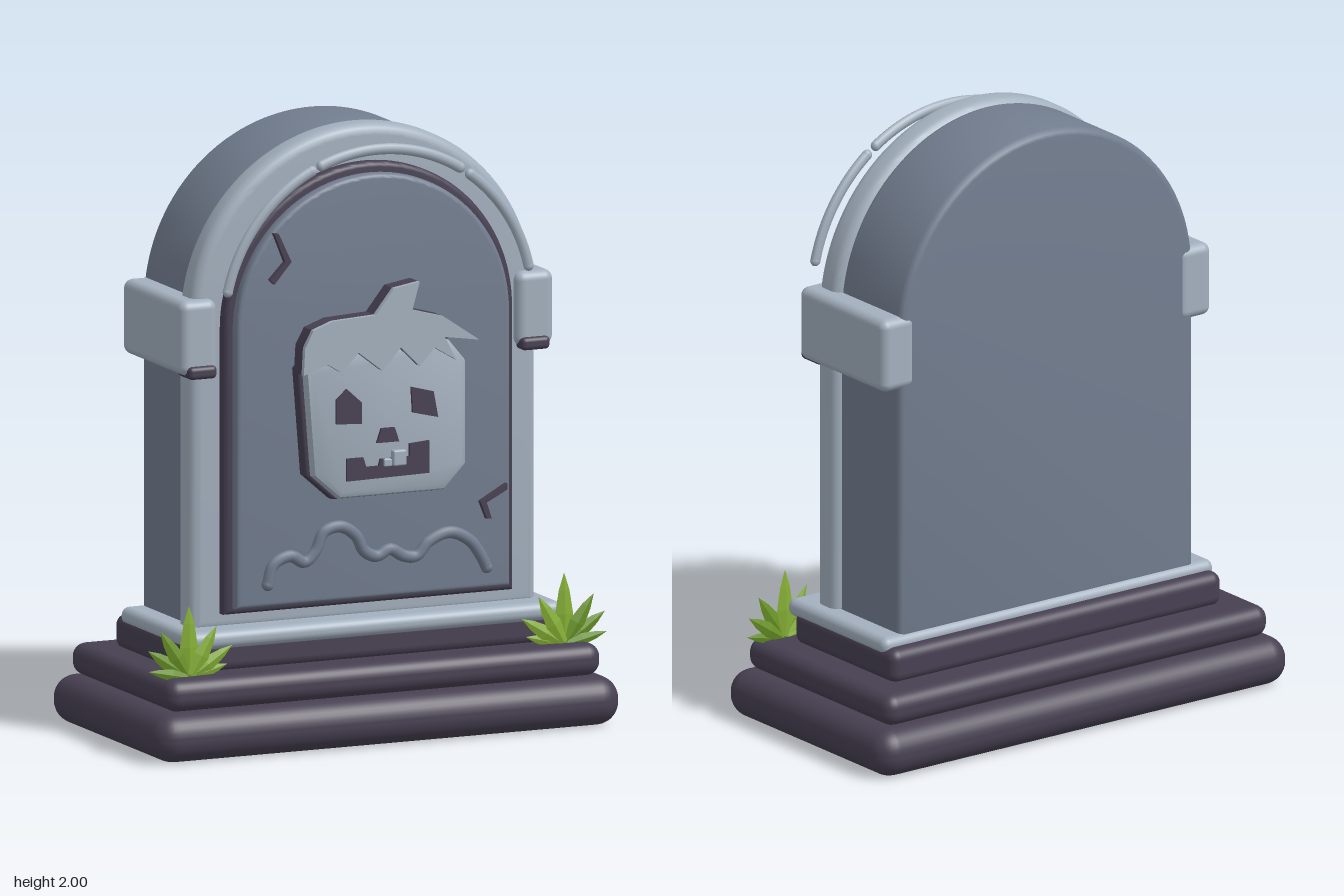
import * as THREE from 'three';
import { toCreasedNormals } from 'three/addons/utils/BufferGeometryUtils.js';
import { RoundedBoxGeometry } from 'three/addons/geometries/RoundedBoxGeometry.js';

const material = (name, color, flatShading = false) => {
  const m = new THREE.MeshStandardMaterial({ color, flatShading });
  m.name = name;
  return m;
};

export function createModel() {
  const model = new THREE.Group();
  model.name = 'gravestone';
  const stone = material('stone grey', 0x737e90);
  const pale = material('pale stone', 0xa3b0be);
  const dark = material('dark stone', 0x474052);
  const leaf = material('leaf green', 0x86b035, true);
  const leafDark = material('deep leaf green', 0x6a9426, true);

  const add = (name, geometry, mat, parent = model) => {
    const mesh = new THREE.Mesh(geometry, mat);
    mesh.name = name;
    parent.add(mesh);
    return mesh;
  };

  // Rounded block given by its min and max on each axis
  const block = (name, mat, [x0, x1], [y0, y1], [z0, z1], r) => {
    const mesh = add(name, new RoundedBoxGeometry(x1 - x0, y1 - y0, z1 - z0, 4, r), mat);
    mesh.position.set((x0 + x1) / 2, (y0 + y1) / 2, (z0 + z1) / 2);
    return mesh;
  };

  // Extrusion from z0 to z1 with a bevel kept inside the outline
  const plate = (name, mat, shape, z0, z1, bevel = 0, inset = 0, steps = 3) => {
    const geo = new THREE.ExtrudeGeometry(shape, {
      depth: z1 - z0 - 2 * bevel, curveSegments: 40,
      bevelEnabled: bevel > 0, bevelThickness: bevel, bevelSize: bevel,
      bevelOffset: -bevel - inset, bevelSegments: steps,
    });
    geo.translate(0, 0, z0 + bevel);
    return add(name, toCreasedNormals(geo, 0.6), mat);
  };

  const polygon = (points) => new THREE.Shape(points.map(([x, y]) => new THREE.Vector2(x, y)));

  const arch = (r, bottom, spring) => {
    const s = new THREE.Shape();
    s.moveTo(-r, bottom);
    s.lineTo(r, bottom);
    s.lineTo(r, spring);
    s.absarc(0, spring, r, 0, Math.PI, false);
    s.closePath();
    return s;
  };

  // Stepped plinth
  block('lowerStep', dark, [-0.825, 0.825], [0, 0.16], [-0.435, 0.435], 0.075);
  block('middleStep', dark, [-0.77, 0.77], [0.16, 0.265], [-0.385, 0.385], 0.045);
  block('upperStep', dark, [-0.665, 0.665], [0.255, 0.37], [-0.27, 0.27], 0.035);
  block('plinthCap', pale, [-0.665, 0.665], [0.34, 0.4], [-0.225, 0.305], 0.028);

  // Arched slab, frame and recessed panel
  plate('slab', stone, arch(0.59, 0.38, 1.397), -0.21, 0.12, 0.022);
  plate('frame', pale, arch(0.613, 0.38, 1.387), 0.105, 0.213, 0.035, 0, 5);
  plate('panelBorder', dark, arch(0.512, 0.44, 1.37), 0.2, 0.252, 0.015);
  plate('panel', stone, arch(0.485, 0.462, 1.365), 0.24, 0.287, 0.015);

  // Shoulder blocks with dark feet
  for (const side of [-1, 1]) {
    const span = (a, b) => (side > 0 ? [a, b] : [-b, -a]);
    block('shoulder', pale, span(0.53, 0.662), [1.23, 1.475], [-0.215, 0.245], 0.03);
    block('shoulderFoot', dark, span(0.54, 0.64), [1.22, 1.262], [0.16, 0.262], 0.015);
  }

  // Three raised beads following the arch
  for (const [from, to] of [[13, 53.5], [58, 111.5], [115.5, 167]]) {
    const points = [];
    for (let i = 0; i <= 16; i++) {
      const a = THREE.MathUtils.degToRad(from + (to - from) * i / 16);
      points.push(new THREE.Vector3(0.547 * Math.cos(a), 1.39 + 0.547 * Math.sin(a), 0));
    }
    const curve = new THREE.CatmullRomCurve3(points);
    const bead = add('archBead', new THREE.TubeGeometry(curve, 32, 0.018, 8), pale);
    bead.scale.z = 0.8;
    bead.position.z = 0.321;
    for (const end of [points[0], points[16]]) {
      const cap = add('beadEnd', new THREE.SphereGeometry(0.018, 10, 8), pale);
      cap.scale.z = 0.8;
      cap.position.set(end.x, end.y, 0.321);
    }
  }

  // Carved pumpkin: backing, face and leafy top
  const head = polygon([[-0.29, 1.24], [-0.262, 0.89], [-0.165, 0.805], [0.215, 0.805],
    [0.297, 0.89], [0.297, 1.235], [0.235, 1.31], [-0.23, 1.31]]);
  plate('pumpkinBacking', dark, head, 0.28, 0.332, 0.01);
  plate('pumpkinFace', pale, head, 0.325, 0.382, 0.024, 0.008, 2);
  const top = polygon([[-0.305, 1.235], [-0.3, 1.325], [-0.27, 1.38], [-0.2, 1.405], [-0.05, 1.413],
    [0.015, 1.495], [0.106, 1.51], [0.08, 1.42], [0.19, 1.39], [0.318, 1.303], [0.195, 1.322],
    [0.235, 1.245], [0.16, 1.29], [0.106, 1.235], [0.04, 1.3], [-0.026, 1.23], [-0.11, 1.295],
    [-0.17, 1.235], [-0.22, 1.265]]);
  plate('pumpkinTopSide', dark, top, 0.335, 0.392);
  plate('pumpkinTop', pale, top, 0.392, 0.41);

  // Facial features
  const features = {
    rightEye: [[-0.18, 1.143], [-0.143, 1.175], [-0.09, 1.127], [-0.09, 1.058], [-0.18, 1.063]],
    leftEye: [[0.085, 1.164], [0.164, 1.143], [0.18, 1.058], [0.09, 1.08]],
    nose: [[-0.021, 1.037], [0.026, 1.037], [0.042, 0.99], [-0.037, 0.99]],
    mouth: [[-0.143, 0.947], [-0.085, 0.947], [-0.075, 0.915], [-0.03, 0.915], [-0.025, 0.937],
      [0.079, 0.937], [0.079, 0.979], [0.148, 0.984], [0.148, 0.878], [-0.143, 0.873]],
  };
  for (const [name, points] of Object.entries(features)) {
    plate(name, dark, polygon(points), 0.383, 0.392);
  }
  block('tooth', pale, [0.016, 0.063], [0.912, 0.963], [0.38, 0.406], 0.006);
  block('smallTooth', pale, [-0.015, 0.014], [0.912, 0.937], [0.38, 0.4], 0.004);

  // Carved wavy line
  const wave = [[-0.386, 0.54], [-0.365, 0.603], [-0.305, 0.628], [-0.255, 0.604], [-0.217, 0.635],
    [-0.185, 0.697], [-0.127, 0.71], [-0.074, 0.677], [-0.045, 0.625], [0, 0.603], [0.048, 0.622],
    [0.095, 0.597], [0.14, 0.592], [0.185, 0.635], [0.26, 0.66], [0.33, 0.628], [0.37, 0.575],
    [0.39, 0.535]].map(([x, y]) => new THREE.Vector3(x, y, 0.308));
  add('wavyLine', new THREE.TubeGeometry(new THREE.CatmullRomCurve3(wave), 100, 0.02, 8), stone);
  for (const end of [wave[0], wave[wave.length - 1]]) {
    add('wavyLineEnd', new THREE.SphereGeometry(0.02, 10, 8), stone).position.copy(end);
  }

  // Bent cracks
  const cracks = [
    [[-0.36, 1.685], [-0.345, 1.685], [-0.3, 1.59], [-0.36, 1.52], [-0.375, 1.535], [-0.322, 1.59]],
    [[0.465, 0.802], [0.465, 0.782], [0.392, 0.745], [0.41, 0.692], [0.393, 0.692], [0.37, 0.75]],
  ];
  for (const points of cracks) plate('crack', dark, polygon(points), 0.28, 0.306);

  // Grass tufts: [lean in degrees, length, half width]
  const blades = [[0, 0.235, 0.032], [-33, 0.19, 0.028], [30, 0.19, 0.028],
    [-56, 0.175, 0.026], [58, 0.18, 0.026], [-78, 0.15, 0.02], [76, 0.14, 0.02]];
  for (const side of [-1, 1]) {
    const tuft = new THREE.Group();
    tuft.name = 'grassTuft';
    tuft.position.set(side * 0.665, 0.26, 0.312);
    tuft.scale.x = 1;
    model.add(tuft);
    blades.forEach(([lean, h, w], i) => {
      const profile = [[0, 0], [w * 0.5, 0.01], [w, h * 0.42], [w * 0.6, h * 0.75], [0, h]]
        .map(([x, y]) => new THREE.Vector2(x, y));
      const blade = add('grassBlade', new THREE.LatheGeometry(profile, 4), i % 2 ? leafDark : leaf, tuft);
      blade.scale.z = 0.32;
      blade.rotation.z = side * THREE.MathUtils.degToRad(lean);
      blade.position.z = (i % 3 - 1) * 0.004;
    });
  }

  return model;
}
